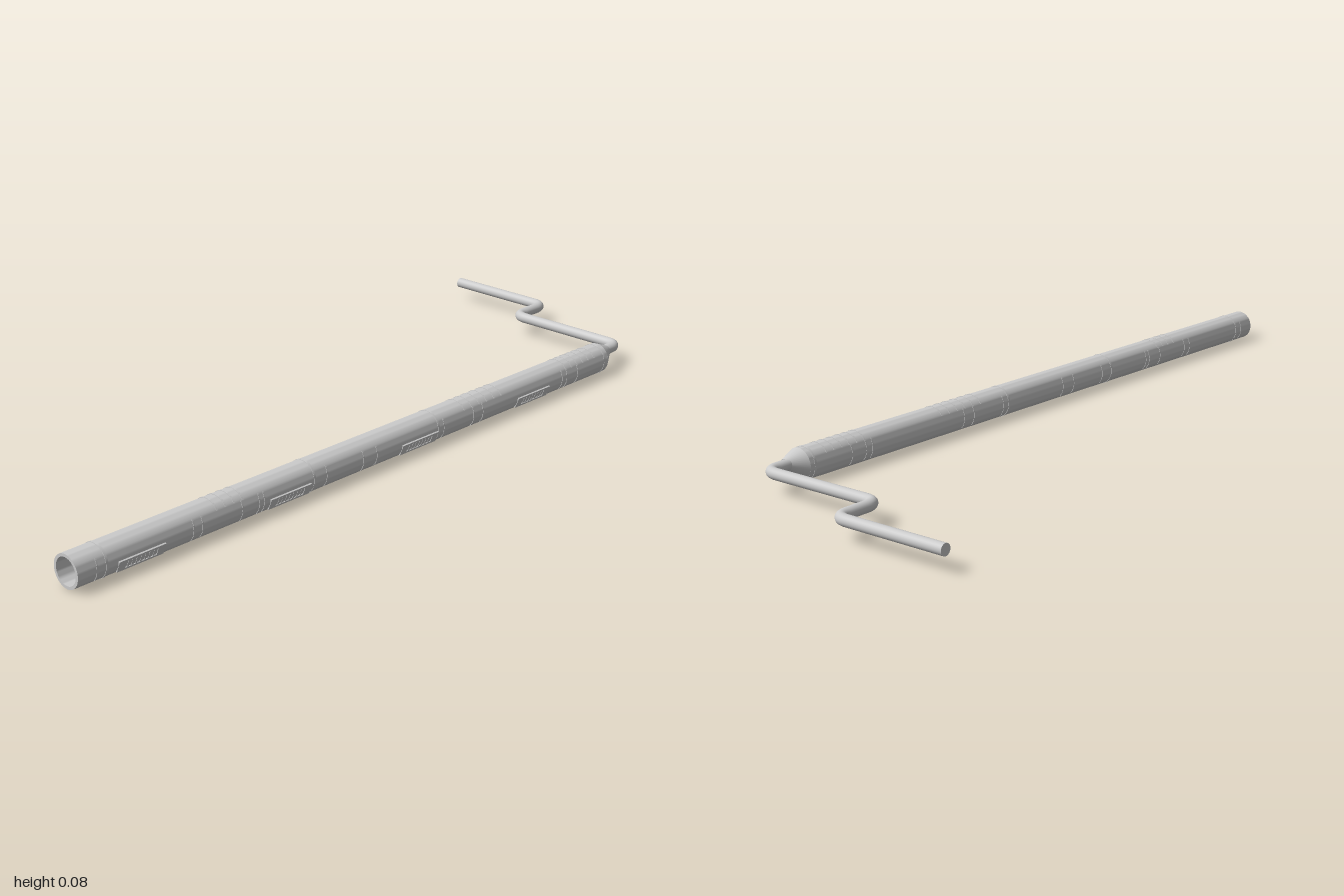
import * as THREE from 'three';
import { toCreasedNormals } from 'three/addons/utils/BufferGeometryUtils.js';

const mat = new THREE.MeshStandardMaterial({ color: 0xcccccc });
const AX = 0.31, AY = 0.46;   // axis of the long tube
const R = 0.039, BORE = 0.032;
const BACK = -0.765, FRONT = 1;

function add(parent, geometry, name) {
  const mesh = new THREE.Mesh(geometry, mat);
  mesh.name = name;
  parent.add(mesh);
  return mesh;
}

// Lathe around the z axis; points are [radius, z], angle 0 is below, PI is on top
function turned(points, start = 0, length = Math.PI * 2, segments = 48) {
  const g = new THREE.LatheGeometry(points.map(p => new THREE.Vector2(p[0], p[1])), segments, start, length);
  g.rotateX(Math.PI / 2);
  return toCreasedNormals(g, 0.6);
}

// Thin raised band, either a full ring or an arc
function band(parent, z, width, start, length, name) {
  const a = z - width / 2, b = z + width / 2, top = R + 0.001, low = R - 0.002;
  add(parent, turned([[low, a], [top, a], [top, b], [low, b]], start, length, 32), name);
}

// Counter block set into the tube wall, with a framed window of small ribs
function counter(z) {
  const g = new THREE.Group();
  g.name = 'counter';
  const len = 0.125, width = 0.029;
  const body = add(g, new THREE.BoxGeometry(0.044, width, len), 'counterBody');
  body.position.x = 0.016;
  for (const s of [-1, 1]) {
    const side = add(g, new THREE.BoxGeometry(0.004, 0.005, len), 'frameSide');
    side.position.set(0.038, s * 0.012, 0);
    const end = add(g, new THREE.BoxGeometry(0.004, width, 0.02), 'frameEnd');
    end.position.set(0.038, 0, s * (len / 2 - 0.01));
  }
  for (let i = 0; i < 7; i++) {
    const rib = add(g, new THREE.BoxGeometry(0.003, 0.019, 0.005), 'rib');
    rib.position.set(0.038, 0, (i - 3) * 0.0115);
  }
  g.rotation.z = -Math.PI / 8;
  g.position.z = z;
  return g;
}

export function createModel() {
  const model = new THREE.Group();
  const barrel = new THREE.Group();
  barrel.name = 'barrel';
  barrel.position.set(AX, AY, 0);
  model.add(barrel);

  // Hollow tube, open at the front
  add(barrel, turned([[R, BACK], [R, FRONT], [BORE, FRONT], [BORE, BACK + 0.02], [0, BACK + 0.02]]), 'tube');

  // Joint collars around the tube
  for (const z of [0.925, 0.33, -0.09, -0.75]) band(barrel, z, 0.006, 0, Math.PI * 2, 'collar');

  // Arc ribs on the top
  const topRibs = [0.62, 0.595, 0.57, 0.545];
  for (let i = 0; i < 6; i++) topRibs.push(-0.19 - i * 0.028, -0.59 - i * 0.024);
  for (const z of topRibs) band(barrel, z, 0.004, Math.PI * 0.68, Math.PI * 0.64, 'topRib');

  // Arc ribs on the sides, in pairs
  for (const z of [0.95, 0.69, 0.665, 0.55, 0.5, 0.485, 0.29, 0.17, 0.125, -0.11, -0.22, -0.255, -0.57, -0.59, -0.635]) {
    band(barrel, z, 0.004, Math.PI * 0.25, Math.PI * 0.45, 'sideRib');
    band(barrel, z, 0.004, Math.PI * 1.3, Math.PI * 0.45, 'sideRib');
  }

  for (let i = 0; i < 4; i++) barrel.add(counter(0.833 - i * 0.428));

  // Nose cone, skewed up towards the crank rod
  const rodY = 0.469, rodR = 0.0138;
  const coneLen = 0.043;
  const cone = new THREE.CylinderGeometry(rodR, R, coneLen, 40);
  cone.rotateX(-Math.PI / 2);
  const p = cone.attributes.position;
  for (let i = 0; i < p.count; i++) {
    const t = 0.5 - p.getZ(i) / coneLen;
    p.setY(i, p.getY(i) + t * (rodY - AY));
  }
  cone.computeVertexNormals();
  add(barrel, cone, 'noseCone').position.z = BACK - coneLen / 2;

  // Crank rod: straight runs joined by rounded elbows
  const rodX = 0.306;
  const corners = [[rodX, -0.80], [rodX, -0.865], [-0.041, -0.865], [-0.041, -0.986], [-0.35, -0.986]]
    .map(c => new THREE.Vector3(c[0], rodY, c[1]));
  const path = new THREE.CurvePath();
  let from = corners[0];
  for (let i = 1; i < corners.length - 1; i++) {
    const c = corners[i];
    const toward = q => c.clone().add(q.clone().sub(c).setLength(0.034));
    const a = toward(corners[i - 1]), b = toward(corners[i + 1]);
    path.add(new THREE.LineCurve3(from, a));
    path.add(new THREE.QuadraticBezierCurve3(a, c, b));
    from = b;
  }
  path.add(new THREE.LineCurve3(from, corners[4]));
  add(model, new THREE.TubeGeometry(path, 200, rodR, 24), 'crankRod');
  const cap = add(model, new THREE.CircleGeometry(rodR, 24), 'crankEnd');
  cap.rotation.y = -Math.PI / 2;
  cap.position.copy(corners[4]);

  return model;
}
